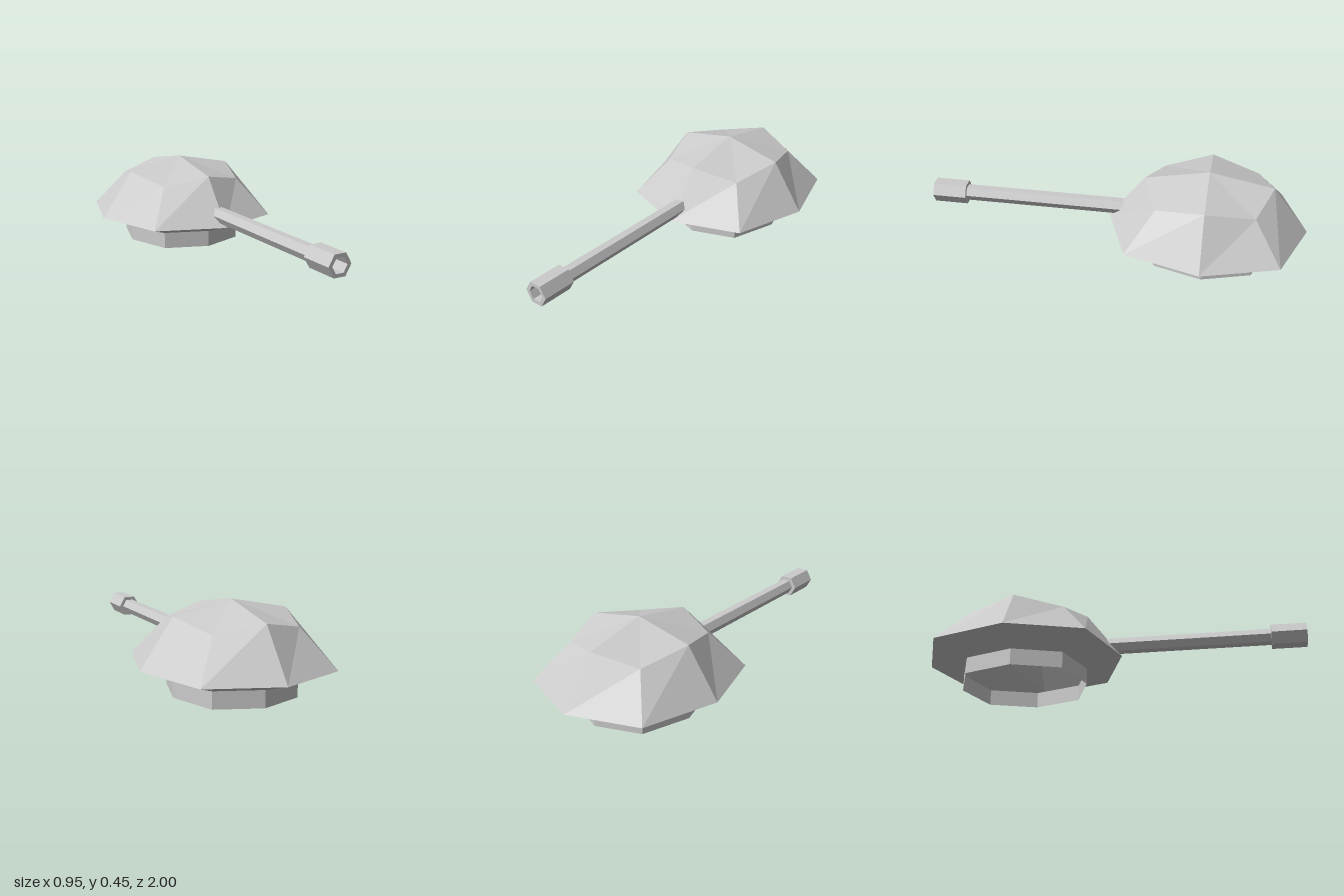
import * as THREE from 'three';

const material = new THREE.MeshStandardMaterial({ color: 0xcccccc, flatShading: true, side: THREE.DoubleSide });

// Eight corners, front first and then round by the left (+x)
function octagon(sideX, frontZ, diagX, diagZ, y, diagY = y) {
  return [[0, 1], [1, 1], [1, 0], [1, -1], [0, -1], [-1, -1], [-1, 0], [-1, 1]].map(([sx, sz]) =>
    sx && sz ? [sx * diagX, diagY, sz * diagZ] : [sx * sideX, y, sz * frontZ]);
}

// Band of faces joining each ring to the next one up
function loft(rings) {
  const index = [];
  const n = rings[0].length;
  for (let r = 0; r < rings.length - 1; r++) {
    for (let i = 0; i < n; i++) {
      const a = r * n + i, b = r * n + (i + 1) % n;
      index.push(a, b, b + n, a, b + n, a + n);
    }
  }
  const geometry = new THREE.BufferGeometry();
  geometry.setAttribute('position', new THREE.Float32BufferAttribute(rings.flat(2), 3));
  geometry.setIndex(index);
  const flat = geometry.toNonIndexed();
  flat.computeVertexNormals();
  return flat;
}

// Six-sided turned part lying along z, with corners at left and right
function hexPart(points) {
  const profile = points.map(([r, z]) => new THREE.Vector2(r, z));
  return new THREE.LatheGeometry(profile, 6).rotateY(Math.PI / 6).rotateX(Math.PI / 2);
}

function addMesh(parent, name, geometry, y, z) {
  const mesh = new THREE.Mesh(geometry, material);
  mesh.name = name;
  mesh.position.set(0, y, z);
  parent.add(mesh);
}

export function createModel() {
  const model = new THREE.Group();
  model.name = 'gunTurret';
  const centreZ = -0.48;

  const baseBottom = octagon(0.305, 0.334, 0.227, 0.249, 0);
  const baseTop = octagon(0.305, 0.334, 0.227, 0.249, 0.086);
  const rim = octagon(0.475, 0.52, 0.356, 0.388, 0.146);
  const shoulder = octagon(0.305, 0.334, 0.227, 0.249, 0.39, 0.341);
  const peak = Array.from({ length: 8 }, () => [0, 0.453, 0]);

  // Hollow shell, open underneath
  addMesh(model, 'turretRing', loft([baseBottom, baseTop]), 0, centreZ);
  addMesh(model, 'turretUnderside', loft([baseTop, rim]), 0, centreZ);
  addMesh(model, 'turretWalls', loft([rim, shoulder]), 0, centreZ);
  addMesh(model, 'turretRoof', loft([shoulder, peak]), 0, centreZ);

  // Gun: an open tube reaching into the shell, with a thicker muzzle
  const gun = new THREE.Group();
  gun.name = 'gun';
  gun.position.y = 0.204;
  model.add(gun);
  addMesh(gun, 'barrel', hexPart([[0.042, -0.17], [0.042, 1]]), 0, 0);
  addMesh(gun, 'muzzle', hexPart([[0.042, 0.82], [0.063, 0.82], [0.063, 1], [0.042, 1]]), 0, 0);

  return model;
}
